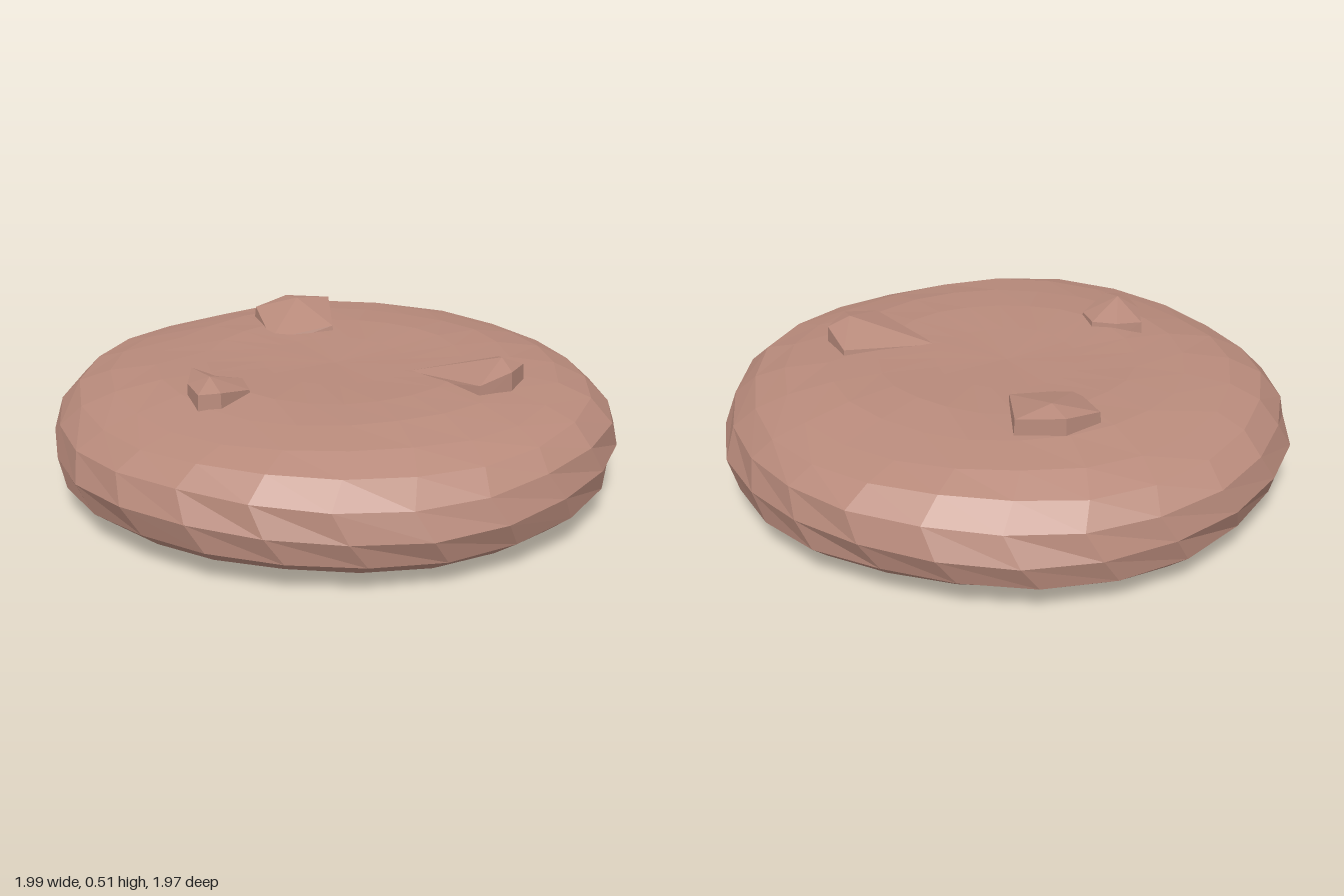
import * as THREE from 'three';

// Low-poly lump: outline points [x, y, z] run counter-clockwise seen from above
function lumpGeometry(outline, peak) {
  const pos = [];
  const [cx, , cz] = peak;
  const base = outline.map(([x, , z]) => [cx + (x - cx) * 1.05, 0.4, cz + (z - cz) * 1.05]);
  outline.forEach((a, i) => {
    const j = (i + 1) % outline.length;
    const b = outline[j];
    pos.push(...peak, ...a, ...b);
    pos.push(...base[i], ...base[j], ...b, ...base[i], ...b, ...a);
  });
  const g = new THREE.BufferGeometry();
  g.setAttribute('position', new THREE.Float32BufferAttribute(pos, 3));
  g.computeVertexNormals();
  return g;
}

export function createModel() {
  const group = new THREE.Group();
  const dough = new THREE.MeshStandardMaterial({ color: 0xb88a7b, flatShading: true });
  dough.name = 'dough brown';

  // Rounded disc with a slightly sunken top
  const profile = [
    [0, 0.004], [0.45, 0.008], [0.75, 0.028], [0.89, 0.052], [0.97, 0.11], [0.995, 0.2],
    [0.965, 0.295], [0.89, 0.365], [0.78, 0.405], [0.62, 0.433], [0.45, 0.443], [0.25, 0.436], [0, 0.428],
  ].map(([r, y]) => new THREE.Vector2(r, y));
  const body = new THREE.LatheGeometry(profile, 24);

  // Hand-pressed unevenness, periodic around the disc
  const p = body.attributes.position;
  for (let i = 0; i < p.count; i++) {
    const x = p.getX(i), y = p.getY(i), z = p.getZ(i);
    const r = Math.hypot(x, z);
    if (r < 0.01) continue;
    const a = Math.atan2(x, z);
    const s = 1 + 0.006 * Math.sin(5 * a + y * 21) - 0.004 * Math.cos(9 * a - y * 13);
    const lift = (y > 0.05 ? 0.012 : 0.002) * Math.sin(4 * a + r * 9) * r * (y > 0.42 ? 0.5 : 1);
    const twist = 0.06 * Math.sin(y * 16) * r;
    const k = Math.min(r * s, 1);
    p.setXYZ(i, Math.sin(a + twist) * k, y + lift, Math.cos(a + twist) * k * 0.99);
  }
  body.computeVertexNormals();
  const disc = new THREE.Mesh(body, dough);
  disc.name = 'cookieBody';
  group.add(disc);

  // Three lumps, each a ramp rising to a steep outer edge
  const lumps = {
    backLump: [[[-0.40, 0.475, -0.42], [-0.28, 0.43, -0.19], [-0.08, 0.455, -0.32],
      [-0.15, 0.49, -0.56], [-0.31, 0.495, -0.53]], [-0.25, 0.51, -0.46]],
    sideLump: [[[0.27, 0.435, 0.05], [0.54, 0.465, 0.23], [0.635, 0.49, 0.14],
      [0.66, 0.48, 0.02], [0.56, 0.455, -0.11]], [0.59, 0.512, 0.06]],
    frontLump: [[[-0.43, 0.48, 0.30], [-0.40, 0.475, 0.44], [-0.33, 0.48, 0.55], [-0.26, 0.485, 0.53],
      [-0.20, 0.455, 0.40], [-0.25, 0.46, 0.31], [-0.34, 0.46, 0.31]], [-0.32, 0.51, 0.45]],
  };
  for (const [name, [outline, peak]] of Object.entries(lumps)) {
    const mesh = new THREE.Mesh(lumpGeometry(outline, peak), dough);
    mesh.name = name;
    group.add(mesh);
  }
  return group;
}
